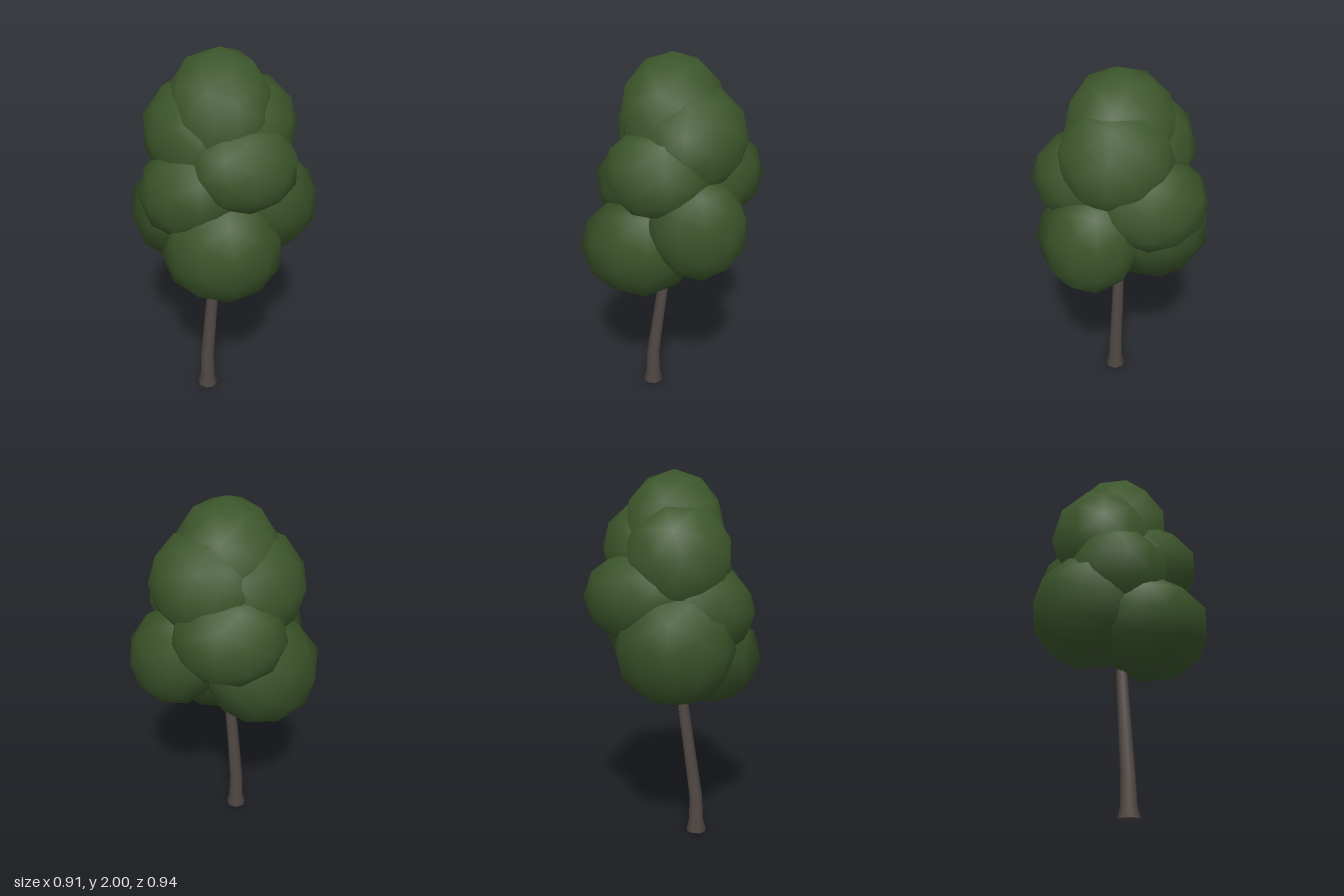
import * as THREE from 'three';

export function createModel() {
  const tree = new THREE.Group();
  tree.name = 'tree';
  const leaf = new THREE.MeshStandardMaterial({ color: 0x3c562b });
  leaf.name = 'leaf green';
  const bark = new THREE.MeshStandardMaterial({ color: 0x534a46 });
  bark.name = 'bark brown';

  // Leaning trunk: each ring is [x, y, z, radius]
  const rings = [
    [-0.127, 0.005, 0.037, 0.058],
    [-0.125, 0.065, 0.036, 0.043],
    [-0.124, 0.21, 0.033, 0.038],
    [-0.086, 0.5, 0.022, 0.034],
    [-0.034, 0.88, 0.01, 0.029],
  ];
  const trunkGeo = new THREE.CylinderGeometry(1, 1, 4, 8, 4);
  const p = trunkGeo.attributes.position;
  for (let i = 0; i < p.count; i++) {
    const [x, y, z, r] = rings[Math.round(p.getY(i) + 2)];
    p.setXYZ(i, x + p.getX(i) * r, y, z + p.getZ(i) * r);
  }
  const trunk = new THREE.Mesh(trunkGeo, bark);
  trunk.name = 'trunk';
  tree.add(trunk);

  // Leaf clumps: name, centre, radii, turn about y
  const clumps = [
    ['crownTop', [-0.005, 1.69, 0], [0.265, 0.31, 0.285], 0.2],
    ['upperLeftClump', [0.12, 1.59, 0.025], [0.28, 0.275, 0.29], 0.9],
    ['upperBackClump', [-0.075, 1.56, -0.1], [0.28, 0.295, 0.285], 1.5],
    ['upperFrontClump', [0.01, 1.44, 0.17], [0.28, 0.235, 0.285], 0.1],
    ['midBackLeftClump', [0.125, 1.355, -0.145], [0.295, 0.245, 0.295], 2.1],
    ['midRightClump', [-0.17, 1.28, -0.02], [0.285, 0.255, 0.27], -0.45],
    ['lowFrontLeftClump', [0.215, 1.17, 0.15], [0.26, 0.275, 0.25], 1.2],
    ['lowFrontClump', [-0.115, 1.0, 0.165], [0.32, 0.27, 0.31], 0.1],
    ['lowBackClump', [-0.085, 1.1, -0.175], [0.32, 0.305, 0.305], 0.28],
  ];
  const clumpGeo = new THREE.IcosahedronGeometry(1, 1);
  const canopyCentre = new THREE.Vector3(0, 1.35, 0);
  const normal = new THREE.Vector3();
  const outward = new THREE.Vector3();
  for (const [name, centre, radii, turn] of clumps) {
    const geo = clumpGeo.clone().rotateY(turn).scale(...radii).translate(...centre);
    // Lean the normals towards the whole canopy's outward direction, so clumps blend
    const { position, normal: normals } = geo.attributes;
    for (let i = 0; i < position.count; i++) {
      outward.fromBufferAttribute(position, i).sub(canopyCentre);
      outward.y *= 0.6;
      normal.fromBufferAttribute(normals, i).addScaledVector(outward.normalize(), 0.6).normalize();
      normals.setXYZ(i, normal.x, normal.y, normal.z);
    }
    const clump = new THREE.Mesh(geo, leaf);
    clump.name = name;
    tree.add(clump);
  }
  return tree;
}
